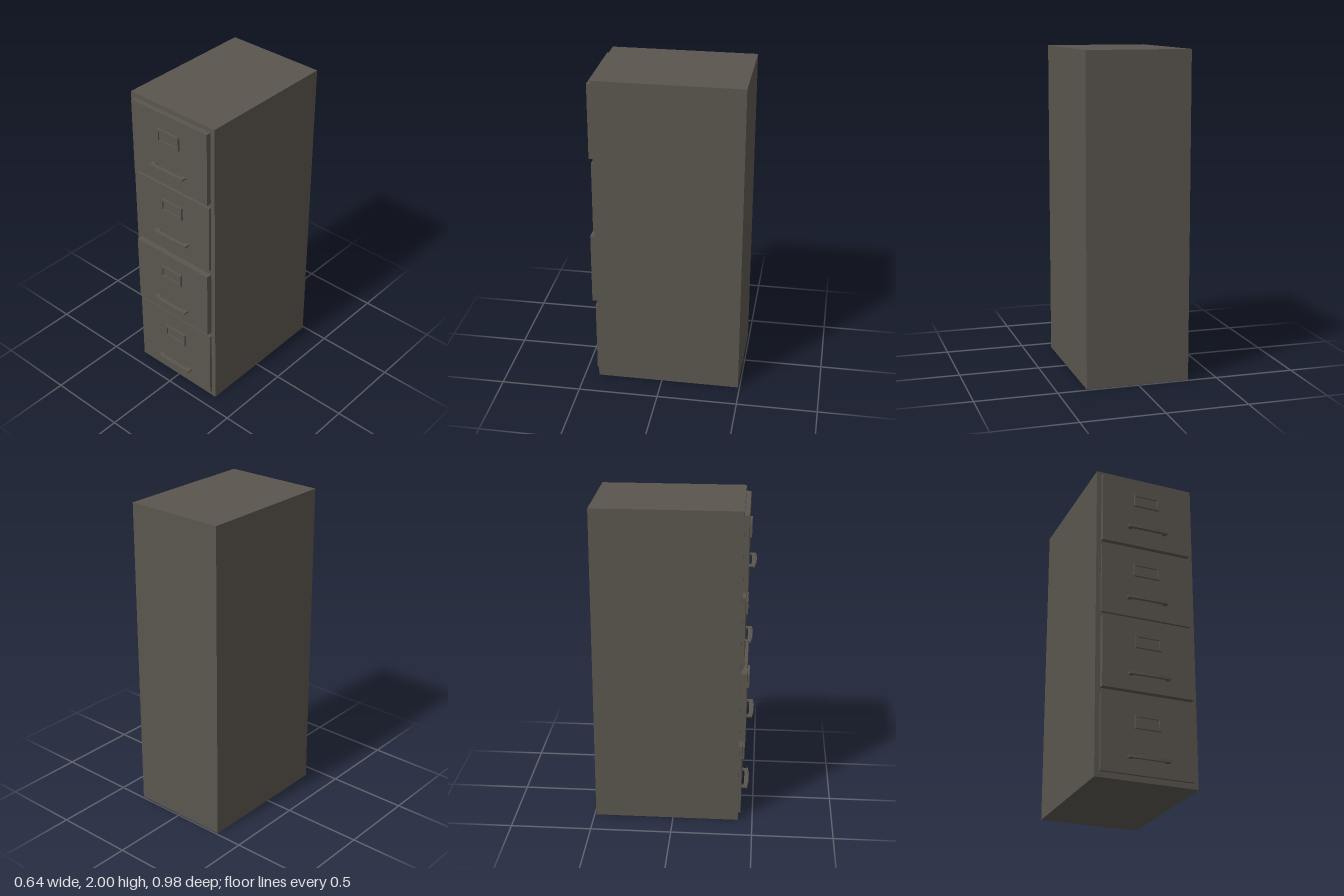
import * as THREE from 'three';

const metal = new THREE.MeshStandardMaterial({ color: 0x5a554e });
metal.name = 'grey brown metal';

function add(parent, geometry, name, x = 0, y = 0, z = 0) {
  const mesh = new THREE.Mesh(geometry, metal);
  mesh.name = name;
  mesh.position.set(x, y, z);
  parent.add(mesh);
  return mesh;
}

function outline(points, Type = THREE.Shape) {
  return new Type(points.map(([x, y]) => new THREE.Vector2(x, y)));
}

const rect = (w, h) => [[-w, -h], [w, -h], [w, h], [-w, h]];

// Horizontal plate drawn in x and z, centred on y = 0
function plate(shape, thickness) {
  return new THREE.ExtrudeGeometry(shape, { depth: thickness, bevelEnabled: false })
    .rotateX(Math.PI / 2).translate(0, thickness / 2, 0);
}

// Label holder: rectangular frame with a recessed card
function labelHolder() {
  const group = new THREE.Group();
  group.name = 'labelHolder';
  const shape = outline(rect(0.083, 0.043));
  shape.holes.push(outline(rect(0.07, 0.027).reverse(), THREE.Path));
  add(group, new THREE.ExtrudeGeometry(shape, { depth: 0.013, bevelEnabled: false }), 'labelFrame');
  add(group, new THREE.BoxGeometry(0.14, 0.054, 0.004), 'labelCard', 0, 0, 0.002);
  return group;
}

// Pull handle: thin bowed strap with two feet and a deeper front lip
function pullHandle() {
  const group = new THREE.Group();
  group.name = 'pullHandle';
  const strap = outline([
    [-0.13, 0], [-0.098, 0], [-0.105, 0.013], [-0.05, 0.015], [0.05, 0.015], [0.105, 0.013],
    [0.098, 0], [0.13, 0], [0.13, 0.03], [0.05, 0.037], [-0.05, 0.037], [-0.13, 0.03],
  ]);
  add(group, plate(strap, 0.01), 'handleStrap');

  const lip = plate(outline([
    [-0.13, 0.025], [-0.05, 0.033], [0.05, 0.033], [0.13, 0.025],
    [0.13, 0.035], [0.05, 0.044], [-0.05, 0.044], [-0.13, 0.035],
  ]), 0.02);
  // Slim the lip towards its ends
  const p = lip.attributes.position;
  for (let i = 0; i < p.count; i++) {
    if (Math.abs(p.getX(i)) > 0.1) p.setY(i, p.getY(i) * 0.6);
  }
  lip.computeVertexNormals();
  add(group, lip, 'handleLip');
  return group;
}

export function createModel() {
  const model = new THREE.Group();
  model.name = 'filingCabinet';
  add(model, new THREE.BoxGeometry(0.64, 2, 0.9), 'cabinetBody', 0, 1, -0.04);

  // Drawers, each pulled out by a slightly different amount
  const drawers = [
    { bottom: 1.502, top: 1.97, front: 0.44, label: 1.824, handle: 1.617 },
    { bottom: 1.02, top: 1.473, front: 0.427, label: 1.338, handle: 1.135 },
    { bottom: 0.535, top: 0.987, front: 0.446, label: 0.85, handle: 0.632 },
    { bottom: 0.035, top: 0.503, front: 0.426, label: 0.353, handle: 0.13 },
  ];
  drawers.forEach(({ bottom, top, front, label, handle }, i) => {
    const drawer = new THREE.Group();
    drawer.name = `drawer${i + 1}`;
    const depth = front - 0.4;
    add(drawer, new THREE.BoxGeometry(0.58, top - bottom, depth), 'drawerFront',
      0, (top + bottom) / 2, front - depth / 2);
    const holder = labelHolder();
    holder.position.set(0, label, front);
    const pull = pullHandle();
    pull.position.set(0, handle, front);
    drawer.add(holder, pull);
    model.add(drawer);
  });
  return model;
}
